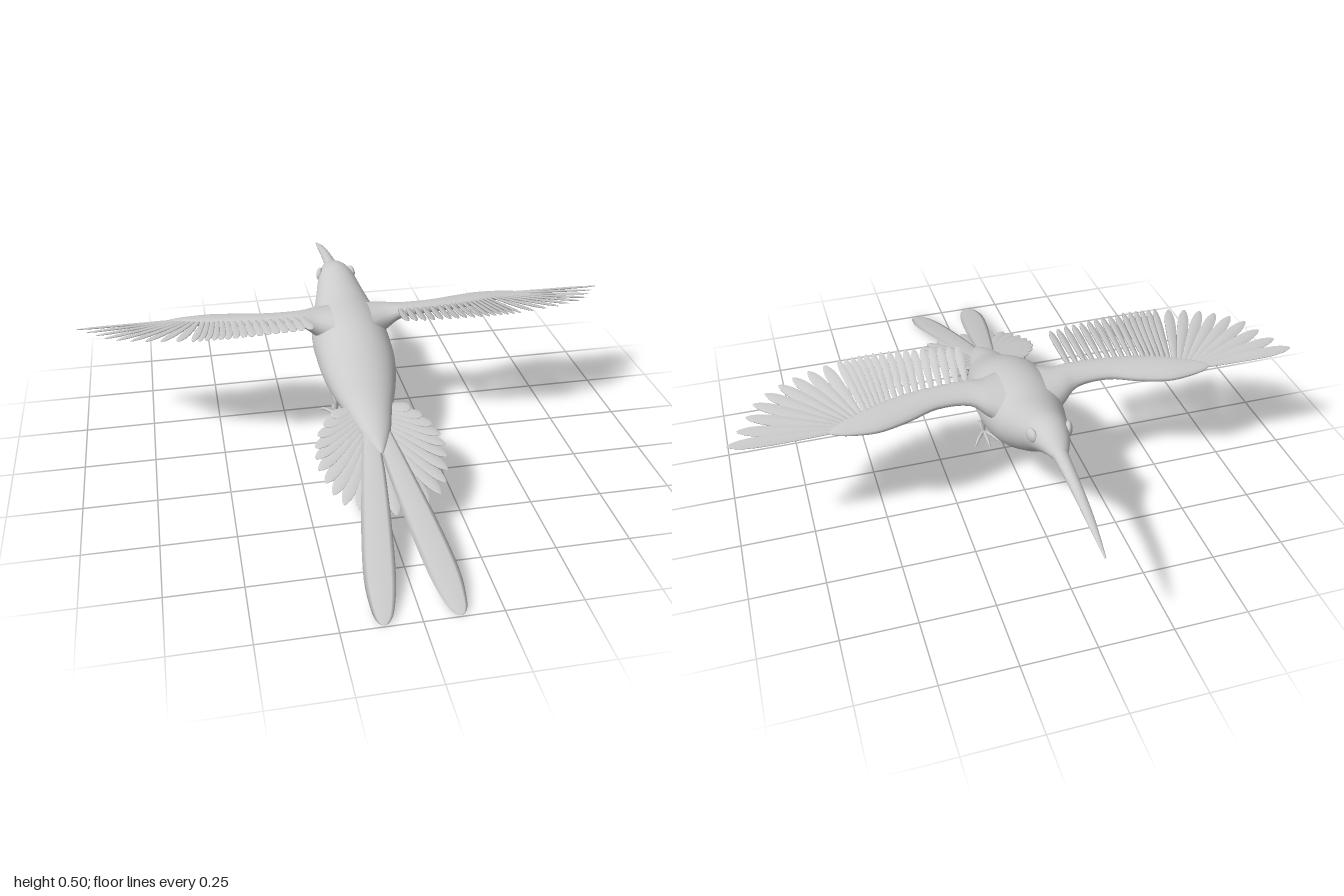
import * as THREE from 'three';

const V = (x, y, z) => new THREE.Vector3(x, y, z);
const mat = new THREE.MeshStandardMaterial({ color: 0xcccccc, roughness: 0.8 });

// Catmull-Rom refinement of rows of numbers
function refine(rows, steps) {
  const out = [];
  const at = i => rows[Math.max(0, Math.min(rows.length - 1, i))];
  for (let i = 0; i < rows.length - 1; i++) {
    for (let s = 0; s < steps; s++) {
      const t = s / steps, a = at(i - 1), b = at(i), c = at(i + 1), d = at(i + 2);
      out.push(b.map((_, k) => 0.5 * (2 * b[k] + (c[k] - a[k]) * t
        + (2 * a[k] - 5 * b[k] + 4 * c[k] - d[k]) * t * t
        + (3 * b[k] - a[k] - 3 * c[k] + d[k]) * t * t * t)));
    }
  }
  out.push(rows[rows.length - 1]);
  return out;
}

// Skin over elliptical rings; each row is centre, axis u, axis v (u x v points along the path)
function loft(rows, sides, steps) {
  const rings = refine(rows, steps), pos = [], idx = [];
  rings.forEach((r, i) => {
    for (let j = 0; j < sides; j++) {
      const a = j / sides * Math.PI * 2, c = Math.cos(a), s = Math.sin(a);
      for (let k = 0; k < 3; k++) pos.push(r[k] + r[3 + k] * c + r[6 + k] * s);
      if (i === rings.length - 1) continue;
      const p = i * sides + j, q = i * sides + (j + 1) % sides;
      idx.push(p, q, q + sides, p, q + sides, p + sides);
    }
  });
  const g = new THREE.BufferGeometry();
  g.setAttribute('position', new THREE.Float32BufferAttribute(pos, 3));
  g.setIndex(idx);
  g.computeVertexNormals();
  return g;
}

// Strip along points with half widths and half thicknesses
function strip(points, widths, thicks, up, sides = 6, steps = 3) {
  const rows = points.map((p, i) => {
    const d = points[Math.min(i + 1, points.length - 1)].clone().sub(points[Math.max(i - 1, 0)]).normalize();
    const side = d.clone().cross(up).normalize();
    const n = side.clone().cross(d).multiplyScalar(thicks[i]);
    return [...p.toArray(), ...n.toArray(), ...side.multiplyScalar(widths[i]).toArray()];
  });
  return loft(rows, sides, steps);
}

// Paddle-shaped feather with a rounded tip
function feather(root, tip, width, up, thick = 0.004) {
  const ts = [0, 0.3, 0.65, 0.85, 0.96, 1];
  return strip(ts.map(t => root.clone().lerp(tip, t)),
    [0.45, 0.75, 1, 0.88, 0.45, 0.04].map(w => w * width),
    [1, 1, 1, 0.8, 0.5, 0.1].map(k => k * thick), up);
}

function mirrored(geo) {
  const g = geo.clone().scale(-1, 1, 1), a = g.index.array;
  for (let i = 0; i < a.length; i += 3) [a[i], a[i + 1]] = [a[i + 1], a[i]];
  return g;
}

const curve = pts => new THREE.CatmullRomCurve3(pts.map(([x, z]) => V(x, 0, z)));

export function createModel() {
  const model = new THREE.Group();
  const add = (name, geo, parent = model) => {
    const m = new THREE.Mesh(geo, mat);
    m.name = name;
    parent.add(m);
  };
  const left = new THREE.Group(), right = new THREE.Group();
  left.name = 'leftSide';
  right.name = 'rightSide';
  model.add(left, right);
  const pair = (name, geo) => {
    add(name, geo, left);
    add(name, mirrored(geo), right);
  };

  // Body and head: z, top, bottom, half width
  const body = [
    [0.40, 0.206, 0.198, 0.004], [0.37, 0.225, 0.193, 0.022], [0.3, 0.26, 0.19, 0.052], [0.2, 0.3, 0.192, 0.08],
    [0.1, 0.36, 0.192, 0.112], [0, 0.415, 0.192, 0.134], [-0.1, 0.446, 0.196, 0.14],
    [-0.2, 0.458, 0.21, 0.14], [-0.3, 0.464, 0.243, 0.122], [-0.4, 0.488, 0.304, 0.094],
    [-0.48, 0.505, 0.365, 0.072], [-0.55, 0.492, 0.408, 0.05], [-0.6, 0.468, 0.425, 0.027],
    [-0.625, 0.455, 0.432, 0.012]];
  add('body', loft(body.map(([z, t, b, w]) =>
    [0, (t + b) / 2, z, 0, (t - b) / 2, 0, w, 0, 0]), 32, 4));

  // Long slightly drooping beak
  add('beak', strip([V(0, 0.447, -0.56), V(0, 0.446, -0.62), V(0, 0.436, -0.74), V(0, 0.415, -0.87), V(0, 0.382, -1)],
    [0.03, 0.024, 0.019, 0.014, 0.003], [0.024, 0.021, 0.016, 0.01, 0.003], V(0, 1, 0), 16, 4));

  // Eyes
  pair('eye', new THREE.SphereGeometry(0.027, 20, 14).scale(0.5, 0.9, 1).rotateY(0.3).translate(0.061, 0.46, -0.5));

  // Wing arm: x, leading z, trailing z, half thickness, drop below the wing plane
  const slope = 0.21, wingY = z => 0.425 + slope * (z + 0.28);
  const arm = [
    [0.07, -0.31, -0.09, 0.07, 0.055], [0.13, -0.275, -0.125, 0.05, 0.035], [0.19, -0.24, -0.135, 0.027, 0.014],
    [0.3, -0.238, -0.145, 0.021, 0.008], [0.4, -0.27, -0.155, 0.021, 0.008], [0.5, -0.295, -0.18, 0.019, 0.006],
    [0.58, -0.293, -0.21, 0.014, 0.004], [0.64, -0.282, -0.24, 0.008, 0.002], [0.665, -0.268, -0.26, 0.002, 0]];
  pair('wingArm', loft(arm.map(([x, a, b, h, drop]) => {
    const z = (a + b) / 2, w = (b - a) / 2;
    return [x, wingY(z) - drop, z, 0, h, -h * slope, 0, w * slope, w];
  }), 16, 4));

  // Wing feathers, each rolled a little so they overlap
  const onWing = p => V(p.x, wingY(p.z), p.z);
  const wingUp = V(0.28, 1, -slope);
  const innerRoots = curve([[0.185, -0.18], [0.33, -0.18], [0.45, -0.2], [0.53, -0.23]]);
  const innerTips = curve([[0.17, 0.015], [0.32, 0.035], [0.46, 0.045], [0.58, 0.04]]);
  for (let i = 0; i < 16; i++) {
    const t = i / 15;
    pair('innerWingFeather', feather(onWing(innerRoots.getPoint(t)), onWing(innerTips.getPoint(t)), 0.0165, wingUp));
  }
  const outerRoots = curve([[0.55, -0.23], [0.6, -0.25], [0.63, -0.262]]);
  const outerTips = curve([[0.63, 0.025], [0.72, 0], [0.8, -0.035], [0.875, -0.085], [0.925, -0.165], [0.985, -0.25]]);
  for (let i = 0; i < 9; i++) {
    const t = i / 8, up = V(0.2 * (1 - t), 1, -slope - 0.15 * t);
    pair('outerWingFeather', feather(onWing(outerRoots.getPoint(t)), onWing(outerTips.getPoint(t)), 0.023, up));
  }

  // Tail fan lying on a sloping plane
  const onTail = (p, lift = 0) => V(p.x, 0.2 - 0.325 * (p.z - 0.4) + lift, p.z);
  const fanRoots = curve([[0.05, 0.19], [0.045, 0.25], [0.03, 0.3], [0, 0.34]]);
  const fanTips = curve([[0.14, 0.22], [0.19, 0.28], [0.217, 0.35], [0.22, 0.42], [0.2, 0.5], [0.165, 0.57], [0.09, 0.61], [0, 0.635]]);
  for (let i = 0; i < 11; i++) {
    const t = i / 11;
    pair('tailFanFeather', feather(onTail(fanRoots.getPoint(t), -0.012), onTail(fanTips.getPoint(t), -0.004),
      0.026, V(0.3 * (1 - t), 1, 0.32)));
  }
  add('middleTailFeather', feather(onTail(V(0, 0, 0.34), -0.012), onTail(V(0, 0, 0.635), -0.004), 0.026, V(0, 1, 0.32)));

  // Two long tail streamers
  pair('tailStreamer', strip([[0.022, 0.3], [0.04, 0.45], [0.075, 0.68], [0.1, 0.85], [0.112, 0.95], [0.117, 0.985], [0.118, 0.995]]
    .map(([x, z]) => onTail(V(x, 0, z))), [0.024, 0.038, 0.049, 0.049, 0.034, 0.018, 0.002],
    [0.004, 0.005, 0.005, 0.004, 0.003, 0.002, 0.001], V(0, 1, 0.325), 8, 4));

  // Legs and feet
  const limb = (pts, r) => strip(pts, r, r, V(0.3, 0.2, 1), 8, 3);
  pair('leg', limb([V(0.07, 0.24, -0.04), V(0.078, 0.195, -0.03), V(0.085, 0.165, -0.012), V(0.085, 0.112, -0.012)],
    [0.03, 0.024, 0.01, 0.008]));
  for (const [x, z] of [[-0.045, -0.075], [0, -0.09], [0.05, -0.07], [0, 0.08]]) {
    const toe = (t, y) => V(0.085 + x * t, y, -0.012 + z * t);
    pair('toe', strip([toe(0, 0.113), toe(0.4, 0.116), toe(0.75, 0.112), toe(1, 0.101)],
      [0.007, 0.006, 0.005, 0.001], [0.007, 0.006, 0.005, 0.001], V(0, 1, 0), 8, 3));
  }
  return model;
}
